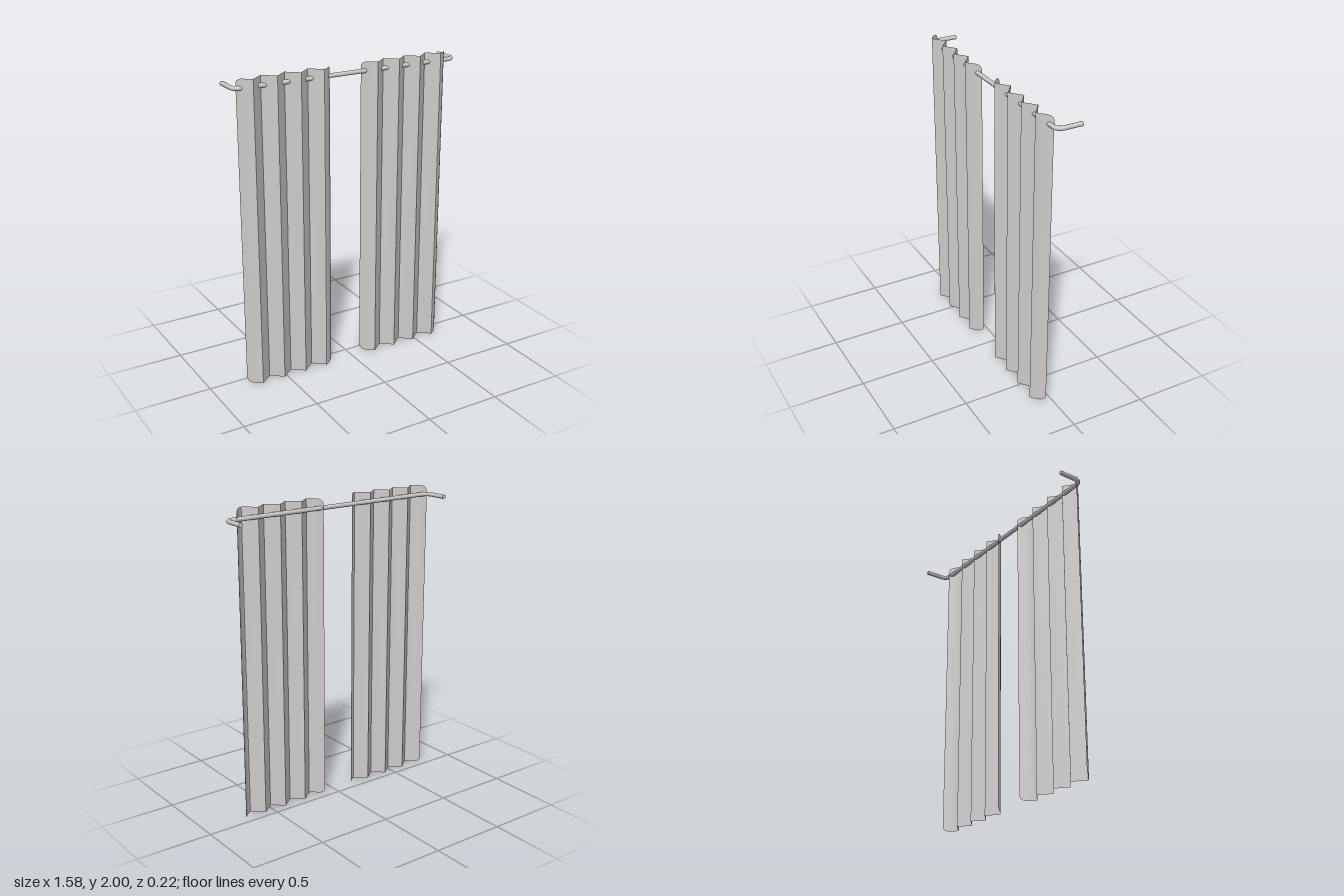
import * as THREE from 'three';
import { mergeGeometries } from 'three/addons/utils/BufferGeometryUtils.js';

const HEIGHT = 2, WIDTH = 0.625, FOLDS = 8, CORNER = 0.03;
const PEAK = 0.11, VALLEY = 0.045, END = 0.035;
const ROD_Y = 1.94, ROD_X = 0.777, ROD_Z = 0.054, ROD_BACK = -0.11, ROD_R = 0.0145, BEND = 0.05;

// One pleat: a strip between two creases; the outermost strips bulge and have rounded corners
function pleat(i) {
  const step = WIDTH / FOLDS;
  const isEnd = i === 0 || i === FOLDS - 1;
  const depth = k => (k % 2 ? PEAK : k === 0 || k === FOLDS ? END : VALLEY);
  const geometry = new THREE.PlaneGeometry(1, 1, isEnd ? 20 : 1, 1);
  const p = geometry.attributes.position;
  for (let v = 0; v < p.count; v++) {
    const t = p.getX(v) + 0.5;
    const x = (i + t) * step;
    const bulge = isEnd ? 0.036 * t * (1 - t) : 0;
    const z = THREE.MathUtils.lerp(depth(i), depth(i + 1), t) + bulge;
    const cut = Math.max(0, CORNER - Math.min(x, WIDTH - x));
    const inset = CORNER - Math.sqrt(Math.max(0, CORNER * CORNER - cut * cut));
    p.setXYZ(v, x - WIDTH / 2, p.getY(v) > 0 ? HEIGHT - inset : inset, z);
  }
  geometry.computeVertexNormals();
  return geometry;
}

// Straight rod with both ends bent back towards the wall
function rodPath() {
  const at = (x, z) => new THREE.Vector3(x, ROD_Y, z);
  const path = new THREE.CurvePath();
  path.add(new THREE.LineCurve3(at(-ROD_X, ROD_BACK), at(-ROD_X, ROD_Z - BEND)));
  path.add(new THREE.QuadraticBezierCurve3(at(-ROD_X, ROD_Z - BEND), at(-ROD_X, ROD_Z), at(-ROD_X + BEND, ROD_Z)));
  path.add(new THREE.LineCurve3(at(-ROD_X + BEND, ROD_Z), at(ROD_X - BEND, ROD_Z)));
  path.add(new THREE.QuadraticBezierCurve3(at(ROD_X - BEND, ROD_Z), at(ROD_X, ROD_Z), at(ROD_X, ROD_Z - BEND)));
  path.add(new THREE.LineCurve3(at(ROD_X, ROD_Z - BEND), at(ROD_X, ROD_BACK)));
  return path;
}

export function createModel() {
  const model = new THREE.Group();
  model.name = 'curtains';
  const metal = new THREE.MeshStandardMaterial({ color: 0xcccccc });
  const cloth = new THREE.MeshStandardMaterial({ color: 0xcccccc, side: THREE.DoubleSide });

  // Two identical pleated panels
  const panel = mergeGeometries(Array.from({ length: FOLDS }, (_, i) => pleat(i)));
  for (const [name, x] of [['rightCurtain', -0.443], ['leftCurtain', 0.403]]) {
    const curtain = new THREE.Mesh(panel, cloth);
    curtain.name = name;
    curtain.position.x = x;
    model.add(curtain);
  }

  // Curtain rod
  const rod = new THREE.Mesh(new THREE.TubeGeometry(rodPath(), 160, ROD_R, 10), metal);
  rod.name = 'curtainRod';
  model.add(rod);

  // Caps closing the rod at the wall
  for (const side of [-1, 1]) {
    const cap = new THREE.Mesh(new THREE.CircleGeometry(ROD_R, 10), metal);
    cap.name = side < 0 ? 'rightRodCap' : 'leftRodCap';
    cap.position.set(side * ROD_X, ROD_Y, ROD_BACK);
    cap.rotation.y = Math.PI;
    model.add(cap);
  }
  return model;
}
